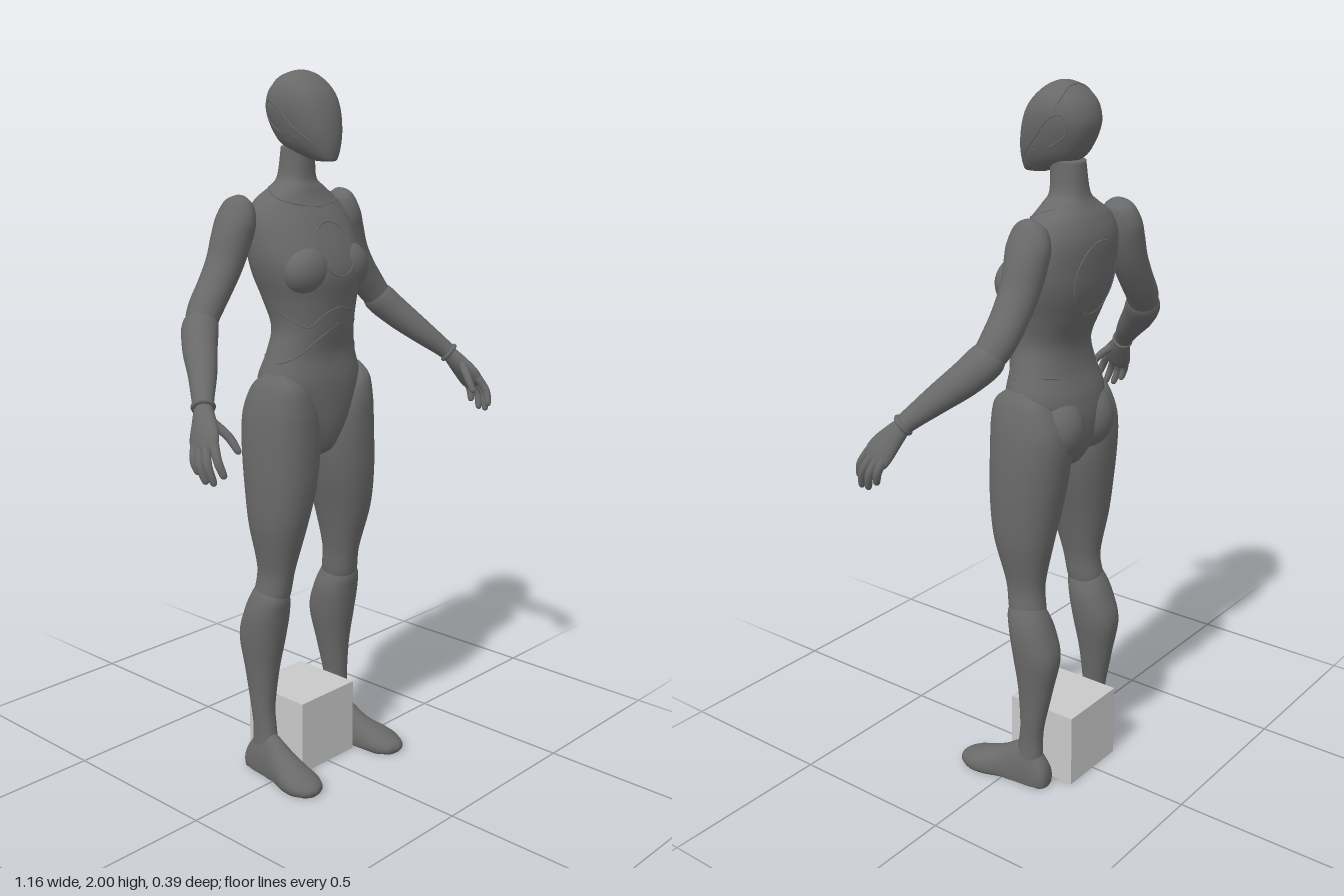
import * as THREE from 'three';

const body = new THREE.MeshStandardMaterial({ color: 0x696969 });
body.name = 'dark grey';
const pale = new THREE.MeshStandardMaterial({ color: 0xc8c8c8 });
pale.name = 'light grey';

// Smooth interpolation between rows of numbers, t counted in rows
function mix(rows, t) {
  const i = Math.min(Math.floor(t), rows.length - 2), f = t - i;
  const row = (k) => rows[Math.max(0, Math.min(rows.length - 1, k))];
  return rows[0].map((_, c) => {
    const a = row(i - 1)[c], b = row(i)[c], d = row(i + 1)[c], e = row(i + 2)[c];
    const m0 = (d - a) / 2, m1 = (e - b) / 2, f2 = f * f, f3 = f2 * f;
    return (2 * f3 - 3 * f2 + 1) * b + (f3 - 2 * f2 + f) * m0 + (3 * f2 - 2 * f3) * d + (f3 - f2) * m1;
  });
}

// Closed skin over rings given by point(t, angle)
function loft(name, count, point, steps = 6, sides = 40) {
  const pos = [], index = [], rings = (count - 1) * steps + 1;
  for (let i = 0; i < rings; i++) {
    for (let j = 0; j < sides; j++) pos.push(...point(i / steps, (j / sides) * Math.PI * 2));
  }
  for (let i = 0; i < rings - 1; i++) {
    for (let j = 0; j < sides; j++) {
      const a = i * sides + j, b = i * sides + ((j + 1) % sides), c = a + sides, d = b + sides;
      index.push(a, c, b, b, c, d);
    }
  }
  const last = (rings - 1) * sides;
  for (let j = 1; j < sides - 1; j++) index.push(0, j, j + 1, last, last + j + 1, last + j);
  const g = new THREE.BufferGeometry();
  g.setAttribute('position', new THREE.Float32BufferAttribute(pos, 3));
  g.setIndex(index);
  g.computeVertexNormals();
  const mesh = new THREE.Mesh(g, body);
  mesh.name = name;
  return mesh;
}

// Upright part: rows of [y, xMin, xMax, zBack, zFront], bottom to top
const POWER = 2.25;
const bend = (v) => Math.sign(v) * Math.pow(Math.abs(v), 2 / POWER);
function uprightPoint(rows, t, angle, grow = 0) {
  const [y, x0, x1, z0, z1] = mix(rows, t);
  return [
    (x0 + x1) / 2 + ((x1 - x0) / 2 + grow) * bend(Math.cos(angle)), y,
    (z0 + z1) / 2 + ((z1 - z0) / 2 + grow) * bend(Math.sin(angle)),
  ];
}
const upright = (name, rows) => loft(name, rows.length, (t, a) => uprightPoint(rows, t, a), 7, 48);

// Limb along a path: rows of [x, y, z, radius along ref, radius across]
function limb(name, rows, ref = [0, 0, 1], floor = -1, steps = 6, sides = 28) {
  const R = new THREE.Vector3(...ref);
  return loft(name, rows.length, (t, a) => {
    const p = mix(rows, t);
    const q0 = mix(rows, Math.max(0, t - 0.05)), q1 = mix(rows, Math.min(rows.length - 1, t + 0.05));
    const T = new THREE.Vector3(q1[0] - q0[0], q1[1] - q0[1], q1[2] - q0[2]).normalize();
    const S = R.clone().addScaledVector(T, -R.dot(T)).normalize();
    const U = S.clone().cross(T);
    const v = new THREE.Vector3(p[0], p[1], p[2])
      .addScaledVector(S, p[3] * Math.cos(a)).addScaledVector(U, p[4] * Math.sin(a));
    return [v.x, Math.max(v.y, floor), v.z];
  }, steps, sides);
}

// Row position of a height on an upright part
function rowAt(rows, y) {
  let lo = 0, hi = rows.length - 1;
  for (let k = 0; k < 25; k++) {
    const m = (lo + hi) / 2;
    if (mix(rows, m)[0] < y) lo = m; else hi = m;
  }
  return lo;
}

// Panel line lying on an upright part, points [degrees, y]; 0 is the left side, 90 the front
function panelLine(name, rows, pts, closed = false) {
  const v = pts.map(([deg, y]) => new THREE.Vector3(
    ...uprightPoint(rows, rowAt(rows, y), THREE.MathUtils.degToRad(deg), -0.0005)));
  const curve = new THREE.CatmullRomCurve3(v, closed);
  const mesh = new THREE.Mesh(new THREE.TubeGeometry(curve, 60, 0.0025, 6, closed), body);
  mesh.name = name;
  return mesh;
}

// Oval panel line on the front (dir 1) or back (dir -1)
function ovalLine(name, rows, cy, rx, ry, dir) {
  const pts = [];
  for (let k = 0; k < 28; k++) {
    const a = (k / 28) * Math.PI * 2, y = cy + ry * Math.sin(a), x = rx * Math.cos(a);
    const c = Math.pow(Math.abs(x) / mix(rows, rowAt(rows, y))[2], POWER / 2) * Math.sign(x);
    pts.push([dir * THREE.MathUtils.radToDeg(Math.acos(c)), y]);
  }
  return panelLine(name, rows, pts, true);
}

function ball(name, p, r) {
  const mesh = new THREE.Mesh(new THREE.SphereGeometry(1, 32, 24), body);
  mesh.position.set(...p);
  mesh.scale.set(...r);
  mesh.name = name;
  return mesh;
}

const sym = (rows) => rows.map(([y, w, zb, zf]) => [y, -w, w, zb, zf]);

const TORSO = sym([
  [0.945, 0.012, -0.06, 0], [0.97, 0.035, -0.12, 0.04], [1.03, 0.085, -0.155, 0.062],
  [1.10, 0.135, -0.165, 0.068], [1.17, 0.163, -0.155, 0.066], [1.245, 0.142, -0.13, 0.057],
  [1.315, 0.125, -0.125, 0.068], [1.39, 0.138, -0.155, 0.076], [1.46, 0.16, -0.182, 0.083],
  [1.52, 0.17, -0.191, 0.066], [1.60, 0.163, -0.193, 0.025], [1.655, 0.135, -0.175, -0.012],
  [1.69, 0.085, -0.152, -0.028], [1.72, 0.052, -0.14, -0.038], [1.80, 0.043, -0.13, -0.035],
]);
const HEAD = sym([
  [1.762, 0.014, -0.005, 0.046], [1.768, 0.03, -0.03, 0.053], [1.80, 0.057, -0.115, 0.057],
  [1.84, 0.075, -0.15, 0.055], [1.89, 0.087, -0.168, 0.044], [1.93, 0.087, -0.163, 0.027],
  [1.96, 0.076, -0.145, 0.003], [1.985, 0.053, -0.115, -0.028], [1.997, 0.024, -0.09, -0.052],
  [2.0, 0.002, -0.072, -0.068],
]);
const THIGH = [
  [0.50, 0.115, 0.175, -0.09, -0.02], [0.55, 0.097, 0.187, -0.108, 0], [0.63, 0.09, 0.182, -0.102, 0.015],
  [0.76, 0.062, 0.206, -0.125, 0.05], [0.865, 0.034, 0.212, -0.142, 0.066], [0.96, 0.018, 0.212, -0.155, 0.07],
  [1.04, 0.02, 0.208, -0.16, 0.07], [1.10, 0.04, 0.2, -0.15, 0.067], [1.16, 0.085, 0.184, -0.115, 0.052],
  [1.195, 0.13, 0.165, -0.06, 0.01],
];
const SHIN = [
  [0.08, 0.128, 0.188, -0.113, -0.03], [0.14, 0.127, 0.186, -0.112, -0.04], [0.20, 0.125, 0.188, -0.12, -0.045],
  [0.31, 0.108, 0.195, -0.142, -0.037], [0.415, 0.088, 0.207, -0.16, -0.02], [0.495, 0.085, 0.207, -0.138, -0.007],
  [0.55, 0.1, 0.193, -0.115, -0.001], [0.59, 0.12, 0.17, -0.09, -0.03],
];

// One arm, leg and the paired body forms of the left side
function side(name) {
  const g = new THREE.Group();
  g.name = name;
  g.add(
    upright('thigh', THIGH),
    upright('shin', SHIN),
    limb('foot', [
      [0.155, 0.02, -0.14, 0.008, 0.01], [0.156, 0.02, -0.128, 0.032, 0.05], [0.157, 0.02, -0.085, 0.038, 0.1],
      [0.16, 0.02, -0.035, 0.04, 0.1], [0.165, 0.02, 0.02, 0.047, 0.065], [0.175, 0.018, 0.07, 0.054, 0.047],
      [0.178, 0.016, 0.11, 0.052, 0.036], [0.18, 0.014, 0.145, 0.034, 0.02], [0.18, 0.012, 0.158, 0.006, 0.005],
    ], [1, 0, 0], 0),
    ball('buttock', [0.07, 1.085, -0.09], [0.083, 0.098, 0.09]),
    ball('chestMuscle', [0.075, 1.475, 0.022], [0.078, 0.07, 0.056]),
    limb('upperArm', [
      [0.19, 1.674, -0.11, 0.012, 0.01], [0.197, 1.655, -0.11, 0.045, 0.033], [0.208, 1.61, -0.113, 0.062, 0.047],
      [0.225, 1.56, -0.115, 0.059, 0.052], [0.25, 1.50, -0.115, 0.054, 0.049], [0.288, 1.44, -0.113, 0.051, 0.046],
      [0.33, 1.385, -0.108, 0.049, 0.044], [0.357, 1.347, -0.095, 0.042, 0.038], [0.37, 1.33, -0.08, 0.02, 0.02],
    ]),
    limb('forearm', [
      [0.335, 1.375, -0.115, 0.02, 0.02], [0.355, 1.35, -0.1, 0.049, 0.044], [0.395, 1.30, -0.058, 0.048, 0.043],
      [0.44, 1.245, 0, 0.039, 0.036], [0.485, 1.195, 0.05, 0.03, 0.027], [0.5, 1.176, 0.068, 0.028, 0.025],
    ]),
    limb('palm', [
      [0.495, 1.185, 0.06, 0.022, 0.019], [0.515, 1.15, 0.085, 0.034, 0.023], [0.535, 1.115, 0.108, 0.045, 0.021],
      [0.548, 1.088, 0.122, 0.042, 0.016], [0.552, 1.075, 0.128, 0.025, 0.008],
    ]),
  );
  // Wrist cuff, set square to the forearm
  const cuff = new THREE.Mesh(new THREE.TorusGeometry(0.025, 0.007, 10, 28), body);
  cuff.position.set(0.499, 1.178, 0.066);
  cuff.lookAt(0.514, 1.159, 0.084);
  cuff.name = 'wristCuff';
  g.add(cuff);
  // Fingers: knuckle, middle joint and tip
  const fingers = {
    indexFinger: [[0.54, 1.105, 0.148], [0.55, 1.066, 0.172], [0.543, 1.03, 0.185]],
    middleFinger: [[0.549, 1.096, 0.13], [0.565, 1.055, 0.151], [0.558, 1.012, 0.164]],
    ringFinger: [[0.552, 1.092, 0.11], [0.567, 1.052, 0.126], [0.561, 1.012, 0.138]],
    littleFinger: [[0.549, 1.096, 0.09], [0.564, 1.062, 0.1], [0.56, 1.03, 0.109]],
    thumb: [[0.512, 1.152, 0.105], [0.49, 1.115, 0.145], [0.482, 1.08, 0.172]],
  };
  for (const [label, [a, b, c]] of Object.entries(fingers)) {
    const end = c.map((v, k) => v + (c[k] - b[k]) * 0.2);
    g.add(limb(label, [[...a, 0.013, 0.012], [...b, 0.0115, 0.0115], [...c, 0.009, 0.009], [...end, 0.002, 0.002]],
      [0, 0, 1], -1, 5, 12));
  }
  // Panel lines
  g.add(
    panelLine('faceLine', HEAD, [[48, 1.785], [28, 1.82], [8, 1.86], [-8, 1.91], [-28, 1.92], [-38, 1.88], [-22, 1.845], [10, 1.825]]),
    panelLine('crownLine', HEAD, [[-15, 1.93], [-28, 1.96], [-55, 1.985], [-90, 1.99]]),
    panelLine('ribLine', TORSO, [[90, 1.375], [70, 1.36], [45, 1.325], [15, 1.35], [-20, 1.4]]),
    panelLine('waistLine', TORSO, [[90, 1.33], [68, 1.30], [40, 1.25], [10, 1.225], [-40, 1.235], [-90, 1.21]]),
    panelLine('collarLine', TORSO, [[90, 1.64], [60, 1.65], [30, 1.665], [0, 1.68], [-50, 1.69]]),
    panelLine('shinLine', SHIN, [[20, 0.16], [90, 0.17], [160, 0.16], [250, 0.15], [380, 0.16]]),
  );
  return g;
}

export function createModel() {
  const model = new THREE.Group();
  model.name = 'mannequin';
  model.add(
    upright('torso', TORSO),
    upright('head', HEAD),
    ovalLine('chestRing', TORSO, 1.53, 0.066, 0.072, 1),
    ovalLine('backPanelLine', TORSO, 1.5, 0.09, 0.1, -1),
  );
  const left = side('leftSide'), right = side('rightSide');
  right.scale.x = -1;
  model.add(left, right);

  // Block between the feet
  const block = new THREE.Mesh(new THREE.BoxGeometry(0.22, 0.22, 0.22), pale);
  block.position.set(0, 0.11, -0.078);
  block.name = 'block';
  model.add(block);
  return model;
}
